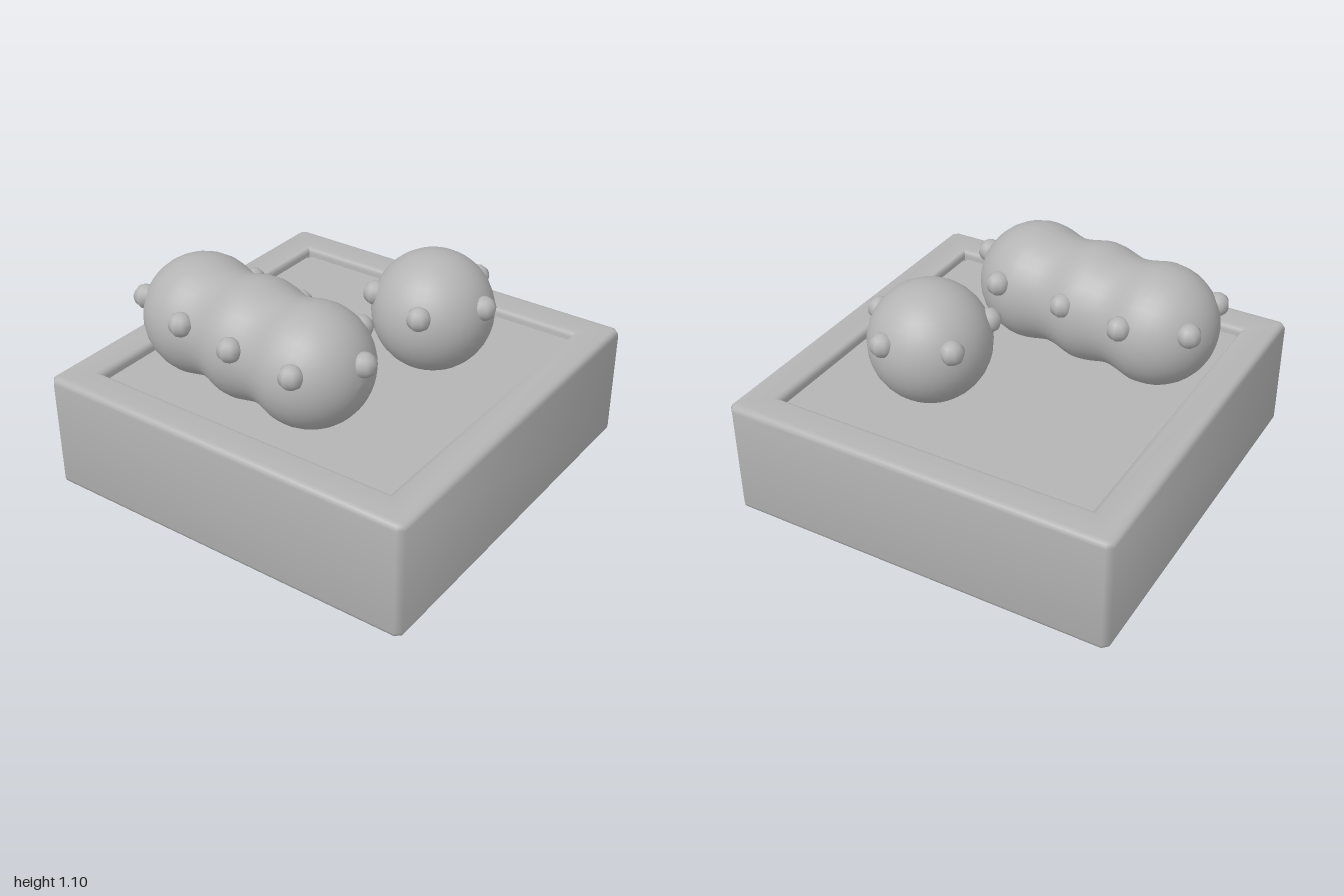
import * as THREE from 'three';
import { toCreasedNormals } from 'three/addons/utils/BufferGeometryUtils.js';

const grey = new THREE.MeshStandardMaterial({ color: 0xb4b4b4 });
grey.name = 'plain grey';

function part(name, geometry, parent) {
  const mesh = new THREE.Mesh(geometry, grey);
  mesh.name = name;
  parent.add(mesh);
  return mesh;
}

// Square outline with corners cut by c
function square(h, c, Type = THREE.Shape) {
  const pts = [[h, -h + c], [h, h - c], [h - c, h], [-h + c, h], [-h, h - c], [-h, -h + c], [-h + c, -h], [h - c, -h]];
  return new Type(pts.map(([x, y]) => new THREE.Vector2(x, y)));
}

export function createModel() {
  const model = new THREE.Group();
  model.name = 'trayWithBumpyShapes';

  // Open square frame with rounded edges
  const bevel = 0.03;
  const outline = square(1 - bevel, 0.012);
  const hole = new THREE.Path();
  const i = 0.82 + bevel;
  hole.moveTo(-i, -i).lineTo(-i, i).lineTo(i, i).lineTo(i, -i).closePath();
  outline.holes.push(hole);
  const frame = new THREE.ExtrudeGeometry(outline, {
    depth: 0.6 - 2 * bevel, bevelThickness: bevel, bevelSize: bevel, bevelSegments: 4,
  });
  frame.rotateX(-Math.PI / 2).translate(0, bevel, 0);
  part('frame', toCreasedNormals(frame, 0.9), model);

  // Recessed floor panel, with tiny gaps at its corners
  const floor = new THREE.ExtrudeGeometry(square(0.823, 0.03), { depth: 0.18, bevelEnabled: false });
  floor.rotateX(-Math.PI / 2).translate(0, 0.37, 0);
  part('floorPanel', floor, model);

  const studGeometry = new THREE.SphereGeometry(0.06, 8, 12);
  const addStud = (parent, x, z) => {
    const stud = part('stud', studGeometry, parent);
    stud.position.set(x, 0.89, z);
  };

  // Single ball with a ring of five studs
  const ball = new THREE.Group();
  ball.name = 'studdedBall';
  model.add(ball);
  part('ball', new THREE.SphereGeometry(0.3, 32, 20), ball).position.set(0.31, 0.8, -0.31);
  for (let k = 0; k < 5; k++) {
    const a = k * Math.PI * 2 / 5;
    addStud(ball, 0.31 + 0.28 * Math.cos(a), -0.31 + 0.28 * Math.sin(a));
  }

  // Three lobes blended along one axis
  const lobes = new THREE.Group();
  lobes.name = 'studdedLobes';
  model.add(lobes);
  const half = 0.35, r = 0.3, profile = [];
  for (let k = 0; k <= 10; k++) {
    const a = k / 10 * Math.PI / 2;
    profile.push(new THREE.Vector2(r * Math.sin(a), -half - r * Math.cos(a)));
  }
  for (let k = 1; k < 24; k++) {
    const t = k / 24;
    profile.push(new THREE.Vector2(0.285 + 0.015 * Math.cos(t * 4 * Math.PI), -half + 2 * half * t));
  }
  for (let k = 10; k >= 0; k--) {
    const a = k / 10 * Math.PI / 2;
    profile.push(new THREE.Vector2(r * Math.sin(a), half + r * Math.cos(a)));
  }
  const body = part('lobedBody', new THREE.LatheGeometry(profile, 32), lobes);
  body.position.set(-0.21, 0.8, 0.403);
  body.quaternion.setFromUnitVectors(
    new THREE.Vector3(0, 1, 0), new THREE.Vector3(0.695, 0, 0.085).normalize());

  // Studs around the lobes
  const spots = [[0.425, 0.44], [0.22, 0.17], [0.225, 0.71], [-0.15, 0.14], [-0.14, 0.685],
    [-0.48, 0.085], [-0.47, 0.635], [-0.79, 0.19], [-0.79, 0.52]];
  for (const [x, z] of spots) addStud(lobes, x, z);

  return model;
}
